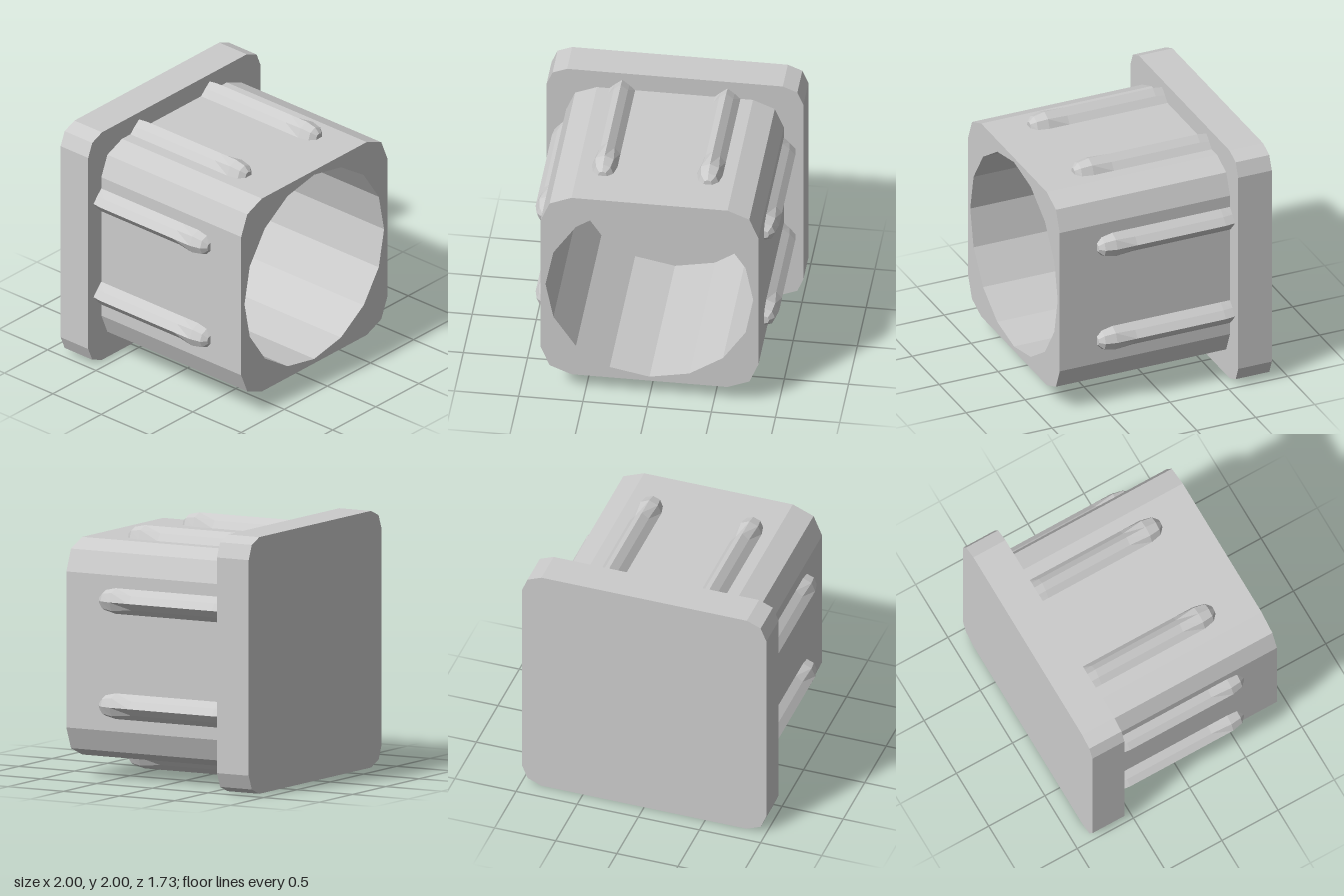
import * as THREE from 'three';

const BACK = -0.865, FRONT = 0.865, SHOULDER = -0.58;
const material = new THREE.MeshStandardMaterial({ color: 0xcccccc, flatShading: true });

// Square outline centred on the origin, each corner rounded in two facets
function roundedSquare(half, radius) {
  const points = [];
  for (let corner = 0; corner < 4; corner++) {
    const mid = Math.PI / 4 + corner * Math.PI / 2;
    const cx = Math.sign(Math.cos(mid)) * (half - radius);
    const cy = Math.sign(Math.sin(mid)) * (half - radius);
    for (let step = -1; step <= 1; step++) {
      const a = mid + step * Math.PI / 4;
      points.push(new THREE.Vector2(cx + radius * Math.cos(a), cy + radius * Math.sin(a)));
    }
  }
  return new THREE.Shape(points);
}

function slab(name, shape, z0, z1) {
  const geometry = new THREE.ExtrudeGeometry(shape, { depth: z1 - z0, bevelEnabled: false });
  geometry.translate(0, 0, z0);
  const mesh = new THREE.Mesh(geometry, material);
  mesh.name = name;
  return mesh;
}

// Ridged rib with a rounded nose, lofted along z from cross-sections
function ribGeometry() {
  // z, half width, height, half width and height of the shoulder points
  const sections = [
    [SHOULDER, 0.1, 0.09, 0.055, 0.045],
    [-0.5, 0.1, 0.1, 0.055, 0.055],
    [0.25, 0.1, 0.1, 0.055, 0.055],
    [0.42, 0.1, 0.1, 0.07, 0.07],
    [0.51, 0.08, 0.08, 0.057, 0.057],
    [0.55, 0.035, 0.04, 0.025, 0.03],
  ];
  const positions = [], index = [];
  sections.forEach(([z, w, h, sw, sh], i) => {
    positions.push(w, 0, z, sw, sh, z, 0, h, z, -sw, sh, z, -w, 0, z);
    if (i === sections.length - 1) return;
    for (let j = 0; j < 4; j++) {
      const a = i * 5 + j;
      index.push(a, a + 1, a + 6, a, a + 6, a + 5);
    }
  });
  // Close the nose
  const last = (sections.length - 1) * 5;
  for (let j = 1; j < 4; j++) index.push(last, last + j, last + j + 1);
  const geometry = new THREE.BufferGeometry();
  geometry.setAttribute('position', new THREE.Float32BufferAttribute(positions, 3));
  geometry.setIndex(index);
  geometry.computeVertexNormals();
  return geometry;
}

export function createModel() {
  const model = new THREE.Group();
  model.name = 'squarePlug';

  // Everything is built around the plug's axis, then raised to stand on the ground
  const plug = new THREE.Group();
  plug.name = 'plug';
  plug.position.y = 1;
  model.add(plug);

  // Square cap; its front face is also the floor of the bore
  plug.add(slab('cap', roundedSquare(1, 0.16), BACK, SHOULDER));

  // Hollow body with a 16-sided bore
  const outline = roundedSquare(0.848, 0.24);
  const bore = [];
  for (let i = 0; i < 16; i++) {
    const a = i / 16 * Math.PI * 2;
    bore.push(new THREE.Vector2(0.81 * Math.cos(a), 0.81 * Math.sin(a)));
  }
  outline.holes.push(new THREE.Path(bore));
  plug.add(slab('body', outline, SHOULDER, FRONT));

  // Two grip ribs on each of the four sides
  const rib = ribGeometry();
  for (let k = 0; k < 4; k++) {
    const side = new THREE.Group();
    side.name = 'ribPair';
    side.rotation.z = k * Math.PI / 2;
    for (const x of [-0.41, 0.41]) {
      const mesh = new THREE.Mesh(rib, material);
      mesh.name = 'gripRib';
      mesh.position.set(x, 0.848, 0);
      side.add(mesh);
    }
    plug.add(side);
  }
  return model;
}
